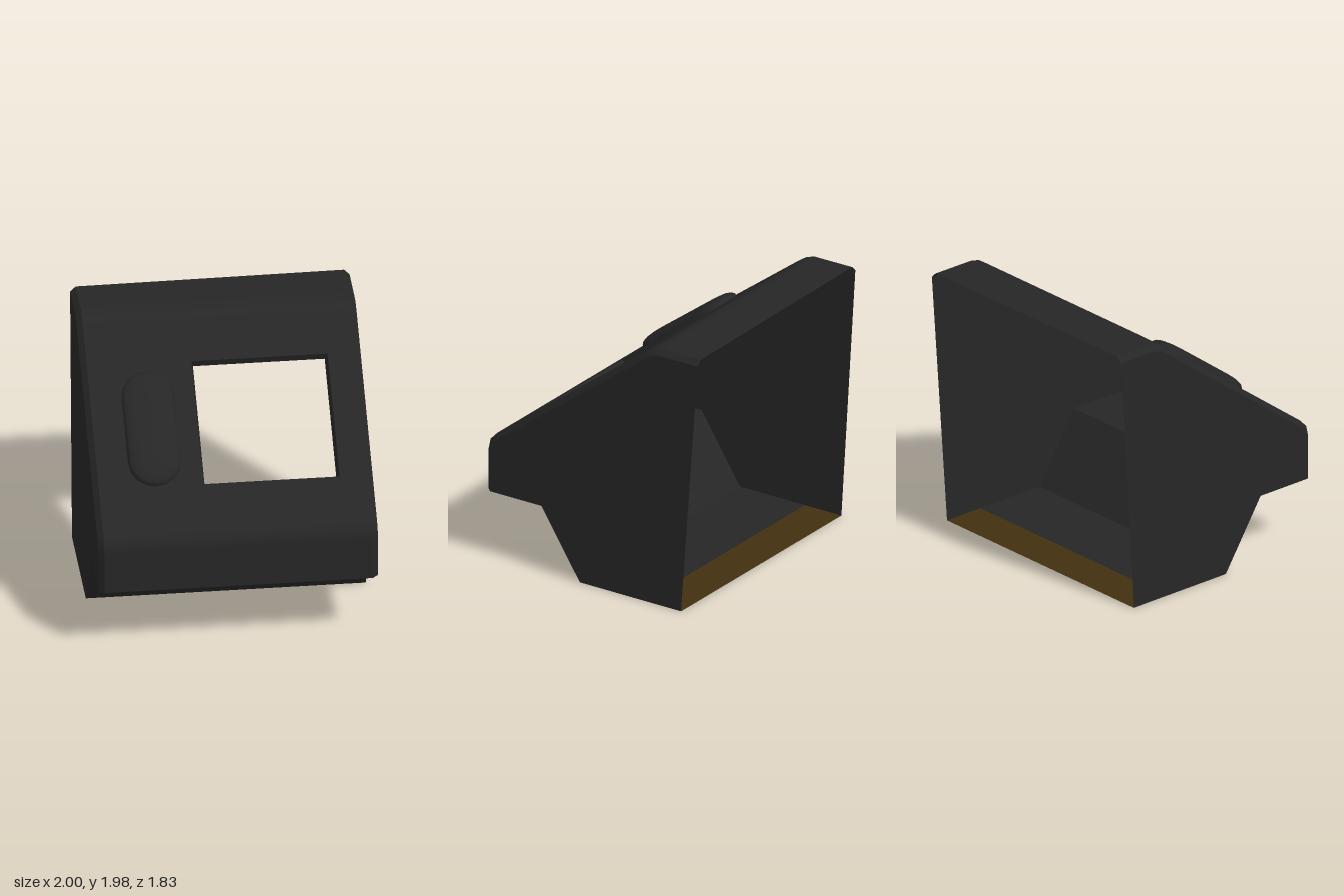
import * as THREE from 'three';

const charcoal = new THREE.MeshStandardMaterial({ color: 0x262626, side: THREE.DoubleSide });
charcoal.name = 'charcoal shell';
const brown = new THREE.MeshStandardMaterial({ color: 0x413110, side: THREE.DoubleSide });
brown.name = 'brown floor';

// Front skin profile: z, y and the angle of the outward normal above +z
const SLOPE = Math.atan2(0.8, 0.6);
const profile = [
  [0.915, 0.51, 0], [0.915, 0.82, 0], [0.897, 0.9, 0.45], [0.84, 0.96, SLOPE],
  [-0.44, 1.92, SLOPE], [-0.505, 1.963, 1.2], [-0.575, 1.982, 1.5], [-0.91, 1.984, Math.PI / 2],
];
const BEVEL = 0.04;
const backZ = (x) => -0.907 - 0.0115 * x; // back rim is slightly skewed

function build(positions, index, normals) {
  const g = new THREE.BufferGeometry();
  g.setAttribute('position', new THREE.Float32BufferAttribute(positions, 3));
  g.setIndex(index);
  if (normals) g.setAttribute('normal', new THREE.Float32BufferAttribute(normals, 3));
  else g.computeVertexNormals();
  return g;
}

function add(parent, name, geometry, material = charcoal) {
  const mesh = new THREE.Mesh(geometry, material);
  mesh.name = name;
  parent.add(mesh);
  return mesh;
}

// Profile point at a given x, pulled in by an inset along its normal
function skinPoint(i, x, inset) {
  const [z, y, a] = profile[i];
  const last = i === profile.length - 1;
  return [x, y - inset * Math.sin(a), last ? backZ(x) : z - inset * Math.cos(a)];
}

// Strip of skin between two x positions, following part of the profile
function skinStrip(from, to, xa, insetA, xb, insetB, tilt = 0) {
  const pos = [], nor = [], idx = [];
  for (let i = from; i <= to; i++) {
    const a = profile[i][2];
    const n = new THREE.Vector3(tilt, Math.sin(a), Math.cos(a)).normalize();
    pos.push(...skinPoint(i, xa, insetA), ...skinPoint(i, xb, insetB));
    nor.push(...n.toArray(), ...n.toArray());
    const k = (i - from) * 2;
    if (i < to) idx.push(k, k + 1, k + 3, k, k + 3, k + 2);
  }
  return build(pos, idx, nor);
}

// Closed rings of equal size joined into a skin
function loft(rings) {
  const n = rings[0].length, idx = [];
  for (let r = 0; r < rings.length - 1; r++) {
    for (let i = 0; i < n; i++) {
      const a = r * n + i, b = r * n + (i + 1) % n;
      idx.push(a, b, b + n, a, b + n, a + n);
    }
  }
  return build(rings.flat(2), idx);
}

const quad = (a, b, c, d) => build([a, b, c, d].flat(), [0, 1, 2, 0, 2, 3]);
const vec2 = (list) => list.map(([x, y]) => new THREE.Vector2(x, y));

// Stadium outline with its end arcs shrunk by an offset
function stadium(cx, cy, radius, halfLength, offset, height) {
  const ring = [], r = Math.max(radius - offset, 0), straight = halfLength - radius;
  for (const end of [0, 1]) {
    for (let i = 0; i <= 8; i++) {
      const a = (end + i / 8) * Math.PI;
      ring.push([cx + r * Math.cos(a), cy + (end ? -straight : straight) + r * Math.sin(a), height]);
    }
  }
  return ring;
}

export function createModel() {
  const model = new THREE.Group();
  model.name = 'hood';
  const w = 1 - BEVEL;

  // Rounded lower and upper bends of the front
  add(model, 'lowerFront', skinStrip(0, 3, -w, 0, w, 0));
  add(model, 'topBend', skinStrip(4, 7, -w, 0, w, 0));

  // Sloping panel with window and pad openings
  const slope = new THREE.Group();
  slope.name = 'slopingFront';
  slope.position.set(0, 0.96, 0.84);
  slope.rotation.x = -SLOPE;
  model.add(slope);
  const panel = new THREE.Shape(vec2([[-w, 0], [w, 0], [w, 1.6], [-w, 1.6]]));
  const opening = [[-0.215, 0.333], [0.76, 0.333], [0.76, 1.283], [-0.215, 1.283]];
  const inner = [[-0.2, 0.348], [0.742, 0.348], [0.742, 1.268], [-0.2, 1.268]];
  const pad = [-0.547, 0.778, 0.187, 0.442];
  panel.holes.push(new THREE.Path(vec2(opening)), new THREE.Path(vec2(stadium(...pad, 0, 0))));
  add(slope, 'frontPanel', new THREE.ShapeGeometry(panel));

  // Window lip running inward
  for (let i = 0; i < 4; i++) {
    const j = (i + 1) % 4;
    add(slope, 'windowLip', quad([...opening[i], 0], [...opening[j], 0],
      [...inner[j], -0.055], [...inner[i], -0.055]));
  }

  // Raised oval pad
  const steps = [[0, 0], [0.003, 0.02], [0.02, 0.038], [0.06, 0.053], [0.12, 0.06], [0.187, 0.062]];
  add(slope, 'raisedPad', loft(steps.map(([o, h]) => stadium(...pad, o, h))));

  // Bevelled edges and side walls
  for (const s of [-1, 1]) {
    const name = s > 0 ? 'left' : 'right';
    add(model, name + 'Bevel', s > 0
      ? skinStrip(0, 7, w, 0, 1, BEVEL, 1)
      : skinStrip(0, 7, -1, BEVEL, -w, 0, -1));
    const outline = profile.map((_, i) => skinPoint(i, s, BEVEL)).map(([, y, z]) => [z, y]);
    outline.push([-0.775, 0], [0.1, 0], [0.43, 0.51]);
    const wall = new THREE.ShapeGeometry(new THREE.Shape(vec2(outline)));
    const p = wall.attributes.position;
    for (let i = 0; i < p.count; i++) p.setXYZ(i, s, p.getY(i), p.getX(i));
    if (s > 0) wall.setIndex(Array.from(wall.index.array).reverse());
    wall.computeVertexNormals();
    add(model, name + 'Wall', wall);
  }

  // Underside of the overhang, with clipped front corners
  const under = [[-1, 0.43], [1, 0.43], [1, 0.875], [w, 0.915], [-w, 0.915], [-1, 0.875]];
  add(model, 'overhangUnderside', build(under.flatMap(([x, z]) => [x, 0.51, z]),
    [0, 1, 2, 0, 2, 3, 0, 3, 4, 0, 4, 5]));

  // Lower slanted wall and the two-tone floor
  const across = (y0, z0, y1, z1) => quad([-1, y0, z0], [1, y0, z0], [1, y1, z1], [-1, y1, z1]);
  add(model, 'lowerSlant', across(0, 0.1, 0.51, 0.43));
  add(model, 'floorFront', across(0, -0.46, 0, 0.1));
  add(model, 'floorRear', across(0, -0.775, 0, -0.46), brown);

  return model;
}
